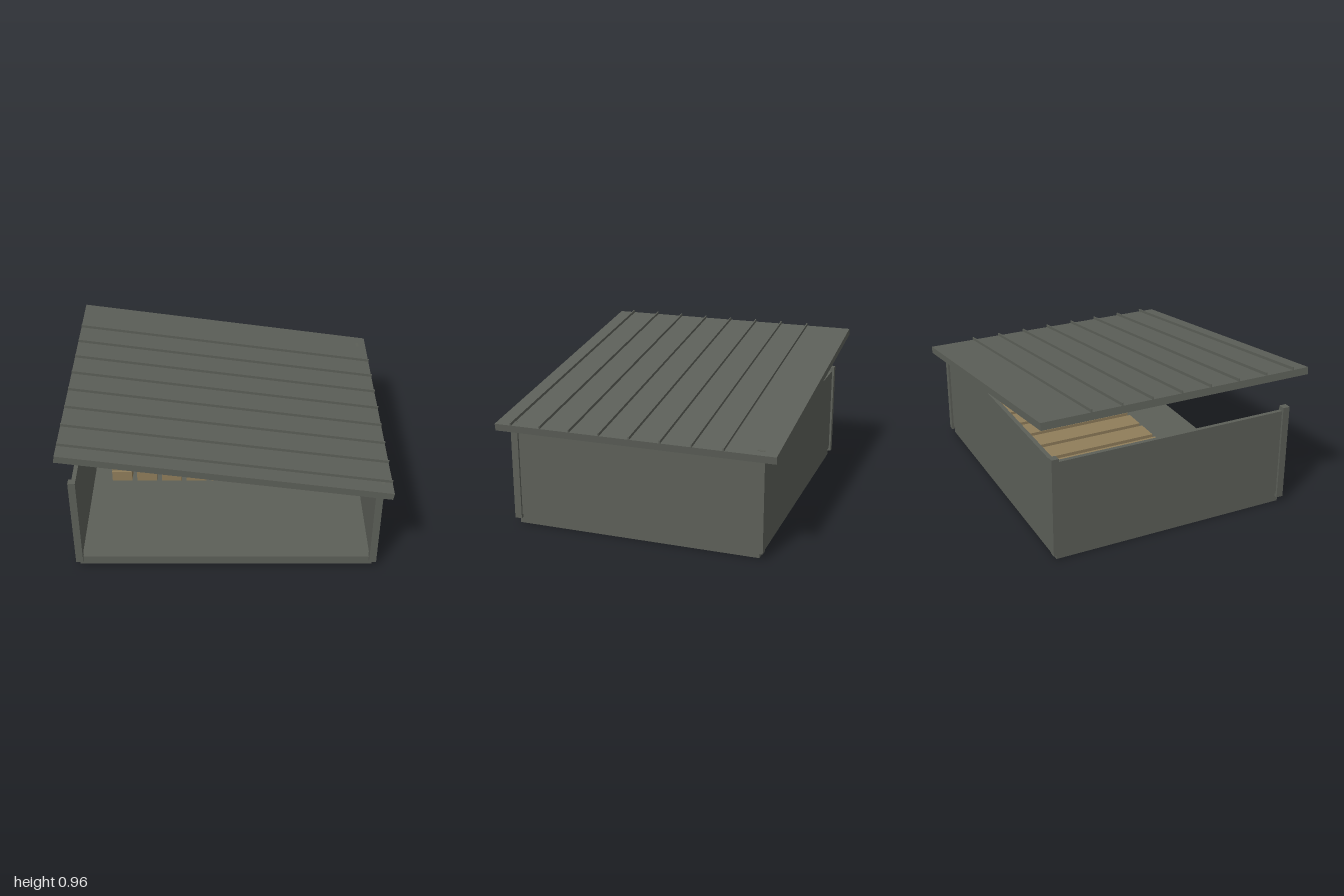
import * as THREE from 'three';

export function createModel() {
  const model = new THREE.Group();
  model.name = 'openShed';

  const slate = new THREE.MeshStandardMaterial({ color: 0x5c5f58 });
  slate.name = 'slateGrey';
  const timber = new THREE.MeshStandardMaterial({ color: 0x8f7d5a });
  timber.name = 'timberBrown';

  // Box given by its min and max corners
  function block(name, min, max, material, parent = model) {
    const size = max.map((v, i) => v - min[i]);
    const mesh = new THREE.Mesh(new THREE.BoxGeometry(...size), material);
    mesh.position.set(...max.map((v, i) => (v + min[i]) / 2));
    mesh.name = name;
    parent.add(mesh);
    return mesh;
  }

  // Floor slab
  block('floor', [-0.926, 0, -0.775], [0.926, 0.06, 0.775], slate);

  // Corner posts
  for (const [sx, side] of [[1, 'left'], [-1, 'right']]) {
    for (const [sz, end] of [[1, 'Front'], [-1, 'Back']]) {
      const x = sx * 0.926, z = sz * 0.778, h = 0.0225;
      block(`${side}${end}Post`, [x - h, 0.037, z - h], [x + h, 0.671, z + h], slate);
    }
    // Side wall panel
    const cx = sx * 0.922, t = 0.013;
    block(`${side}Wall`, [cx - t, 0.06, -0.757], [cx + t, 0.645, 0.757], slate);
  }

  // Back wall panel; the front stays open
  block('backWall', [-0.905, 0.06, -0.787], [0.905, 0.645, -0.761], slate);

  // Stacked timber, nine columns of five
  const stack = new THREE.Group();
  stack.name = 'timberStack';
  for (let col = 0; col < 9; col++) {
    for (let row = 0; row < 5; row++) {
      const x = -0.783 + col * 0.17, y = 0.065 + row * 0.09;
      block('timberBlock', [x, y, -0.72], [x + 0.136, y + 0.077, 0.022], timber, stack);
    }
  }
  model.add(stack);

  // Sloping roof with raised seams
  const roof = new THREE.Group();
  roof.name = 'roof';
  const half = 1.0055, thick = 0.0225;
  block('roofSlab', [-half, -thick, -0.88], [half, thick, 0.88], slate, roof);
  for (let i = 0; i < 8; i++) {
    const z = -0.571 + i * 0.192;
    block('roofSeam', [-half, thick, z - 0.004], [half, thick + 0.018, z + 0.004], slate, roof);
  }
  roof.rotation.z = -0.1396;
  roof.position.set(-0.001, 0.779, 0);
  model.add(roof);

  return model;
}
